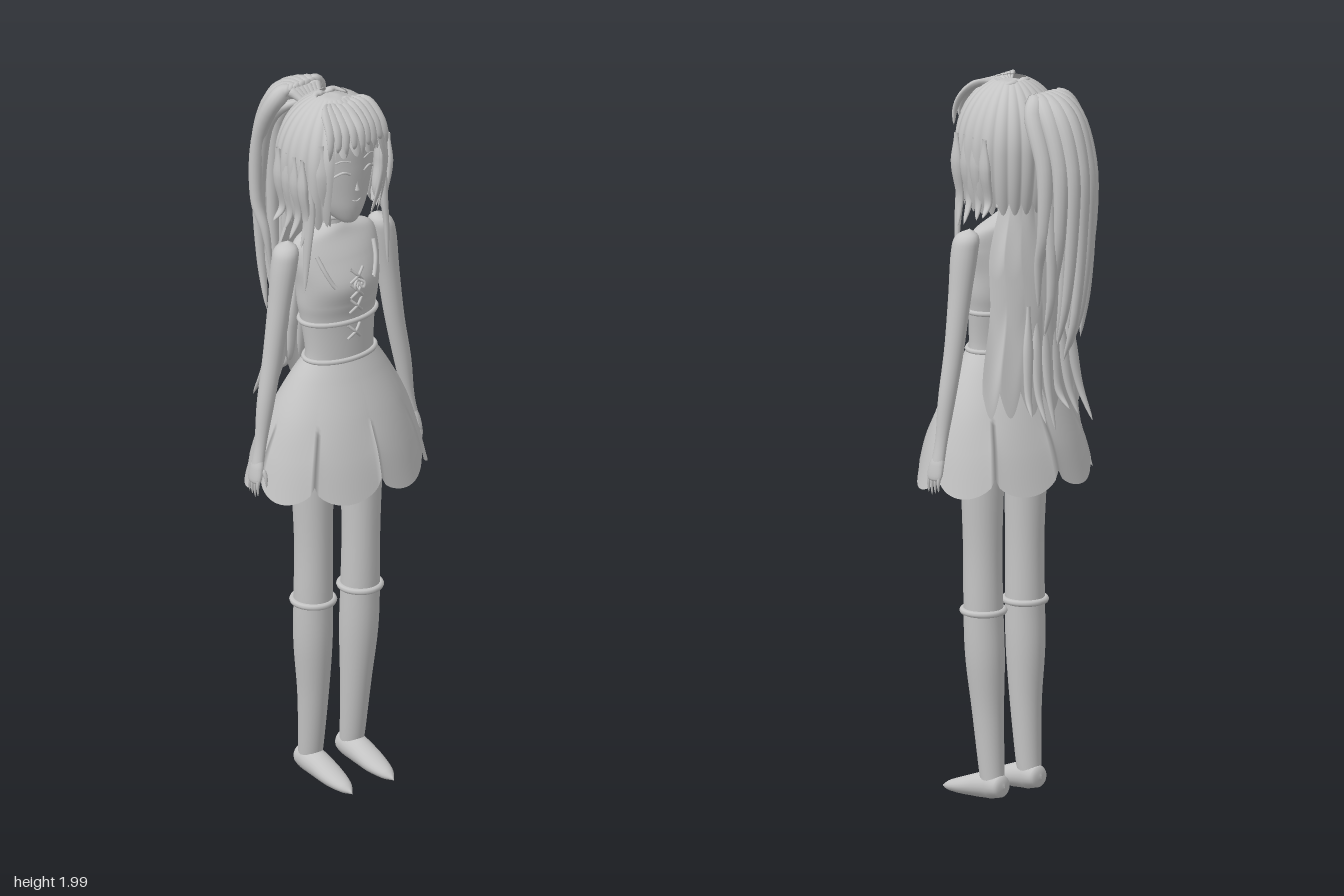
import * as THREE from 'three';
import { ParametricGeometry } from 'three/addons/geometries/ParametricGeometry.js';

const V = (x, y, z) => new THREE.Vector3(x, y, z);
const TAU = Math.PI * 2;
const smooth = THREE.MathUtils.smoothstep;

export function createModel() {
  const model = new THREE.Group();
  model.name = 'longHairedFigure';
  const grey = new THREE.MeshStandardMaterial({ color: 0xc4c4c4, side: THREE.DoubleSide });
  grey.name = 'plain grey';

  function add(name, geometry) {
    const mesh = new THREE.Mesh(geometry, grey);
    mesh.name = name;
    model.add(mesh);
    return mesh;
  }
  function surface(name, fn, nu, nv) {
    return add(name, new ParametricGeometry(fn, nu, nv));
  }
  // Smooth stack of ellipses; rows are [y, rx, rz, cz, cx], bottom to top
  function loft(name, rows, nv = 40, nu = 28) {
    const size = new THREE.CatmullRomCurve3(rows.map(r => V(r[0], r[1], r[2])), false, 'catmullrom', 0.5);
    const centre = new THREE.CatmullRomCurve3(rows.map(r => V(r[4] || 0, 0, r[3])), false, 'catmullrom', 0.5);
    const s = V(), c = V();
    return surface(name, (u, v, p) => {
      size.getPoint(v, s);
      centre.getPoint(v, c);
      p.set(c.x + Math.max(0, s.y) * Math.sin(u * TAU), s.x, c.z + Math.max(0, s.z) * Math.cos(u * TAU));
    }, nu, nv);
  }
  // Tapered lock: w is the half width, th the half thickness along "out"
  function strand(name, pts, w, th, out, nv = 20, nu = 10) {
    const curve = new THREE.CatmullRomCurve3(pts.map(p => V(...p)));
    const N = V(), B = V();
    return surface(name, (u, v, p) => {
      const T = curve.getTangent(v);
      N.copy(out).addScaledVector(T, -out.dot(T)).normalize();
      B.crossVectors(N, T);
      const f = Math.pow(Math.max(0, 1 - v), 0.55) * (0.3 + 0.7 * smooth(v, 0, 0.3));
      curve.getPoint(v, p);
      p.addScaledVector(B, Math.cos(u * TAU) * w * f).addScaledVector(N, Math.sin(u * TAU) * th * f);
    }, nu, nv);
  }
  function tube(name, pts, r, closed = false, n = 16) {
    const curve = new THREE.CatmullRomCurve3(pts.map(p => V(...p)), closed);
    return add(name, new THREE.TubeGeometry(curve, n, r, 8, closed));
  }
  function ring(name, y, rx, rz, cz, r, cx = 0) {
    const pts = Array.from({ length: 16 }, (_, i) =>
      [cx + rx * Math.sin(i / 16 * TAU), y, cz + rz * Math.cos(i / 16 * TAU)]);
    return tube(name, pts, r, true, 48);
  }

  // Body and head
  loft('torso', [[0.93, 0, 0, 0.05], [0.95, 0.08, 0.06, 0.05], [1.02, 0.135, 0.08, 0.05], [1.1, 0.14, 0.085, 0.055],
    [1.2, 0.118, 0.07, 0.065], [1.26, 0.105, 0.063, 0.07], [1.36, 0.114, 0.07, 0.062], [1.41, 0.122, 0.08, 0.06],
    [1.47, 0.125, 0.088, 0.06], [1.54, 0.135, 0.068, 0.05], [1.59, 0.125, 0.048, 0.04], [1.615, 0.06, 0.04, 0.035],
    [1.63, 0.03, 0.03, 0.03]], 60, 36);
  loft('neck', [[1.58, 0.044, 0.04, 0.03], [1.64, 0.038, 0.037, 0.03], [1.72, 0.038, 0.038, 0.035]], 8);
  loft('head', [[1.645, 0, 0, 0.11], [1.652, 0.025, 0.022, 0.108], [1.69, 0.064, 0.07, 0.072], [1.74, 0.09, 0.096, 0.05],
    [1.82, 0.11, 0.112, 0.038], [1.9, 0.11, 0.113, 0.035], [1.96, 0.08, 0.085, 0.035], [1.986, 0.03, 0.03, 0.035],
    [1.989, 0, 0, 0.035]], 44, 36);
  ring('choker', 1.645, 0.041, 0.041, 0.031, 0.007);
  ring('bodiceBand', 1.36, 0.117, 0.073, 0.062, 0.007);
  ring('waistBand', 1.25, 0.109, 0.067, 0.07, 0.007);

  // Bodice lacing and shoulder straps
  [1.5, 1.455, 1.41, 1.33].forEach(y => {
    const z = y > 1.45 ? 0.149 : y > 1.4 ? 0.145 : 0.137;
    for (const s of [-1, 1])
      tube('lace', [[-0.02 * s, y - 0.02, z - 0.003], [0, y, z + 0.004], [0.02 * s, y + 0.02, z - 0.003]], 0.004);
  });
  for (const s of [-1, 1]) {
    tube('laceBow', [[0, 1.49, 0.15], [0.016 * s, 1.478, 0.16], [0.012 * s, 1.465, 0.16], [0, 1.48, 0.152]], 0.004);
    tube('strapCord', [[0.095 * s, 1.56, 0.095], [0.085 * s, 1.52, 0.118], [0.07 * s, 1.485, 0.133], [0.063 * s, 1.475, 0.138]], 0.006);
  }

  // Skirt with eight scallops
  const skirtRows = [[1.255, 0.107, 0.066, 0.07], [1.2, 0.145, 0.095, 0.062], [1.1, 0.2, 0.142, 0.058],
    [1.0, 0.235, 0.178, 0.056], [0.885, 0.265, 0.208, 0.055]];
  const skirtSize = new THREE.CatmullRomCurve3(skirtRows.map(r => V(...r.slice(0, 3))));
  surface('skirt', (u, v, p) => {
    const a = -u * TAU, lobe = Math.abs(Math.sin(a * 4));
    const q = skirtSize.getPoint(v);
    const f = 1 - 0.035 * (1 - lobe) * v * v;
    const lift = 0.055 * (1 - Math.sqrt(lobe)) * smooth(v, 0.5, 1);
    p.set(q.y * f * Math.sin(a), q.x + lift, 0.055 + 0.015 * (1 - v) + q.z * f * Math.cos(a));
  }, 128, 28);

  // Face details
  for (const s of [-1, 1]) {
    tube('eyelash', [[0.022 * s, 1.803, 0.146], [0.042 * s, 1.812, 0.143], [0.065 * s, 1.8, 0.129]], 0.0035);
    tube('eyebrow', [[0.022 * s, 1.84, 0.148], [0.045 * s, 1.846, 0.141], [0.066 * s, 1.838, 0.129]], 0.0025);
  }
  add('nose', new THREE.ConeGeometry(0.007, 0.025, 8)).position.set(0, 1.765, 0.148);
  tube('mouth', [[-0.014, 1.722, 0.143], [0, 1.719, 0.147], [0.014, 1.722, 0.143]], 0.002);

  // Arms, hands, legs and feet
  for (const s of [-1, 1]) {
    loft('arm', [[0.97, 0.015, 0.02, 0.05, 0.262 * s], [1.04, 0.016, 0.018, 0.048, 0.248 * s], [1.15, 0.024, 0.024, 0.046, 0.23 * s],
      [1.28, 0.027, 0.027, 0.044, 0.205 * s], [1.42, 0.03, 0.032, 0.044, 0.184 * s], [1.54, 0.035, 0.038, 0.044, 0.166 * s],
      [1.585, 0.03, 0.032, 0.042, 0.157 * s], [1.605, 0, 0, 0.04, 0.15 * s]], 36, 20);
    loft('palm', [[0.925, 0, 0, 0.052, 0.274 * s], [0.935, 0.01, 0.024, 0.052, 0.272 * s], [0.97, 0.014, 0.024, 0.051, 0.264 * s],
      [0.995, 0.013, 0.017, 0.05, 0.257 * s]], 12, 16);
    for (let i = 0; i < 4; i++) {
      const z = 0.034 + i * 0.012;
      strand('finger', [[0.268 * s, 0.955, z], [0.275 * s, 0.925, z], [0.274 * s, 0.888 + 0.005 * Math.abs(i - 2), z]], 0.007, 0.007, V(s, 0, 0), 10, 8);
    }
    strand('thumb', [[0.258 * s, 0.975, 0.065], [0.256 * s, 0.95, 0.08], [0.256 * s, 0.92, 0.084]], 0.008, 0.008, V(s, 0, 0), 10, 8);

    loft('leg', [[0.03, 0.03, 0.032, 0.028, 0.07 * s], [0.09, 0.034, 0.035, 0.036, 0.07 * s], [0.25, 0.042, 0.044, 0.048, 0.072 * s],
      [0.4, 0.052, 0.054, 0.054, 0.077 * s], [0.53, 0.053, 0.054, 0.058, 0.079 * s], [0.7, 0.051, 0.054, 0.06, 0.08 * s],
      [0.9, 0.057, 0.06, 0.058, 0.082 * s], [1.05, 0.06, 0.066, 0.055, 0.078 * s]], 40, 24);
    ring('stockingCuff', 0.53, 0.055, 0.056, 0.058, 0.009, 0.079 * s);
    // Pointed shoe, lofted from heel to toe
    const shoe = new THREE.CatmullRomCurve3([V(-0.013, 0, 0.05), V(-0.004, 0.028, 0.048), V(0.03, 0.037, 0.048),
      V(0.08, 0.037, 0.04), V(0.14, 0.034, 0.027), V(0.19, 0.02, 0.017), V(0.218, 0, 0.01)]);
    const half = [0.002, 0.028, 0.038, 0.034, 0.024, 0.014, 0.002];
    surface('shoe', (u, v, p) => {
      const q = shoe.getPoint(v), k = Math.min(5, Math.floor(v * 6));
      const h = THREE.MathUtils.lerp(half[k], half[k + 1], v * 6 - k);
      p.set(0.07 * s + q.y * Math.cos(u * TAU), Math.max(0, q.z + h * Math.sin(u * TAU)), q.x);
    }, 20, 30);
  }

  // Hair cap, ribbed and cut to a jagged edge around the face
  surface('hairCap', (u, v, p) => {
    const a = -u * TAU, around = Math.abs(Math.atan2(Math.sin(a), Math.cos(a)));
    const zig = Math.abs(Math.sin(a * 12));
    const edge = THREE.MathUtils.lerp(1.9, 1.68, smooth(around, 0.5, 0.72)) - 0.035 * zig;
    const end = Math.acos(THREE.MathUtils.clamp((edge - 1.82) / 0.182, -1, 1));
    const phi = 0.3 + (end - 0.3) * v, y = 1.82 + 0.182 * Math.cos(phi);
    const drop = (1.82 - y) / 0.18;
    const r = (y > 1.82 ? Math.sin(phi) : 1 - 0.2 * drop * drop) * (0.965 + 0.04 * zig);
    p.set(0.154 * r * Math.sin(a), y, 0.035 + 0.143 * r * Math.cos(a));
  }, 144, 28);

  // Fringe, crown locks and side locks
  for (let i = -4; i <= 4; i++) {
    const x = i * 0.021, back = Math.abs(i) * 0.005;
    strand('fringeLock', [[x * 0.3, 1.982, 0.055], [x * 0.8, 1.978, 0.1], [x, 1.94, 0.158 - back],
      [x * 1.1, 1.9, 0.172 - back], [x * 1.15 + 0.004, 1.862 + (i % 2 ? 0.02 : 0), 0.168 - back]], 0.02, 0.011, V(0, 0.4, 1));
  }
  for (const s of [-1, 1]) {
    strand('crownLock', [[0, 1.988, 0.008], [0.03 * s, 1.99, 0.005], [0.055 * s, 1.982, 0.03]], 0.014, 0.01, V(0, 1, 0));
    strand('cheekLock', [[0.1 * s, 1.9, 0.12], [0.102 * s, 1.8, 0.132], [0.09 * s, 1.72, 0.125], [0.068 * s, 1.65, 0.118]], 0.026, 0.012, V(0.6 * s, 0, 1));
    strand('longSideLock', [[0.13 * s, 1.82, 0.09], [0.125 * s, 1.7, 0.1], [0.133 * s, 1.6, 0.102], [0.14 * s, 1.47, 0.1]], 0.024, 0.014, V(s, 0, 0.4));
    for (let i = 0; i < 4; i++) {
      const z = 0.095 - i * 0.035;
      strand('sideLock', [[0.145 * s, 1.86, z], [0.142 * s, 1.76, z], [0.13 * s, 1.68, z],
        [(0.145 + 0.012 * (i % 2)) * s, 1.6 + i * 0.015, z - 0.005]], 0.024, 0.014, V(s, 0, 0));
    }
  }

  // High ponytail
  for (let i = 0; i < 7; i++) {
    const k = (i - 3) / 3, x = k * 0.08, d = k * k * 0.055;
    const tip = [1.42, 1.34, 1.27, 1.25, 1.29, 1.36, 1.4][i];
    strand('ponytailLock', [[x * 0.3, 1.94, -0.045], [x * 0.55, 1.965, -0.1], [x * 0.9, 1.925, -0.18 + d], [x * 1.05, 1.8, -0.23 + d],
      [x * 1.1, 1.62, -0.232 + d], [x, tip + 0.12, -0.205 + d], [x * 0.85, tip, -0.165 + d * 0.5]], 0.034, 0.03, V(k * 0.4, 0.3, -1), 32, 14);
  }
  for (let i = 0; i < 4; i++) {
    const x = (i - 1.5) * 0.045;
    strand('innerPonytailLock', [[x * 0.4, 1.94, -0.07], [x, 1.88, -0.145], [x * 1.1, 1.7, -0.185], [x, 1.45, -0.185],
      [x, 1.3 + 0.03 * (i % 2), -0.16]], 0.03, 0.026, V(0, 0.3, -1), 24, 12);
  }

  // Loose back hair hanging to the hips, with a jagged hem
  surface('backHair', (u, v, p) => {
    const a = (u - 0.5) * 2.7, zig = Math.abs(Math.sin(u * Math.PI * 7));
    const y = 1.72 - v * (0.55 + 0.07 * zig);
    const w = 0.085 + 0.06 * smooth(v, 0, 0.4) + 0.04 * smooth(v, 0.55, 1);
    const depth = 0.075 + 0.035 * smooth(v, 0, 0.6);
    p.set(-w * Math.sin(a), y, 0.005 - 0.02 * v - depth * Math.cos(a) * (0.96 + 0.04 * zig));
  }, 84, 30);
  for (let i = 0; i < 6; i++) {
    const x = (i - 2.5) * 0.034;
    strand('hipLock', [[x * 0.8, 1.4, -0.1], [x, 1.25, -0.115], [x * 1.15, 1.15, -0.13],
      [x * 1.3, 1.06 + 0.025 * (i % 3), -0.165 + 0.01 * (i % 2)]], 0.02, 0.014, V(0, 0, -1), 16);
  }
  return model;
}
